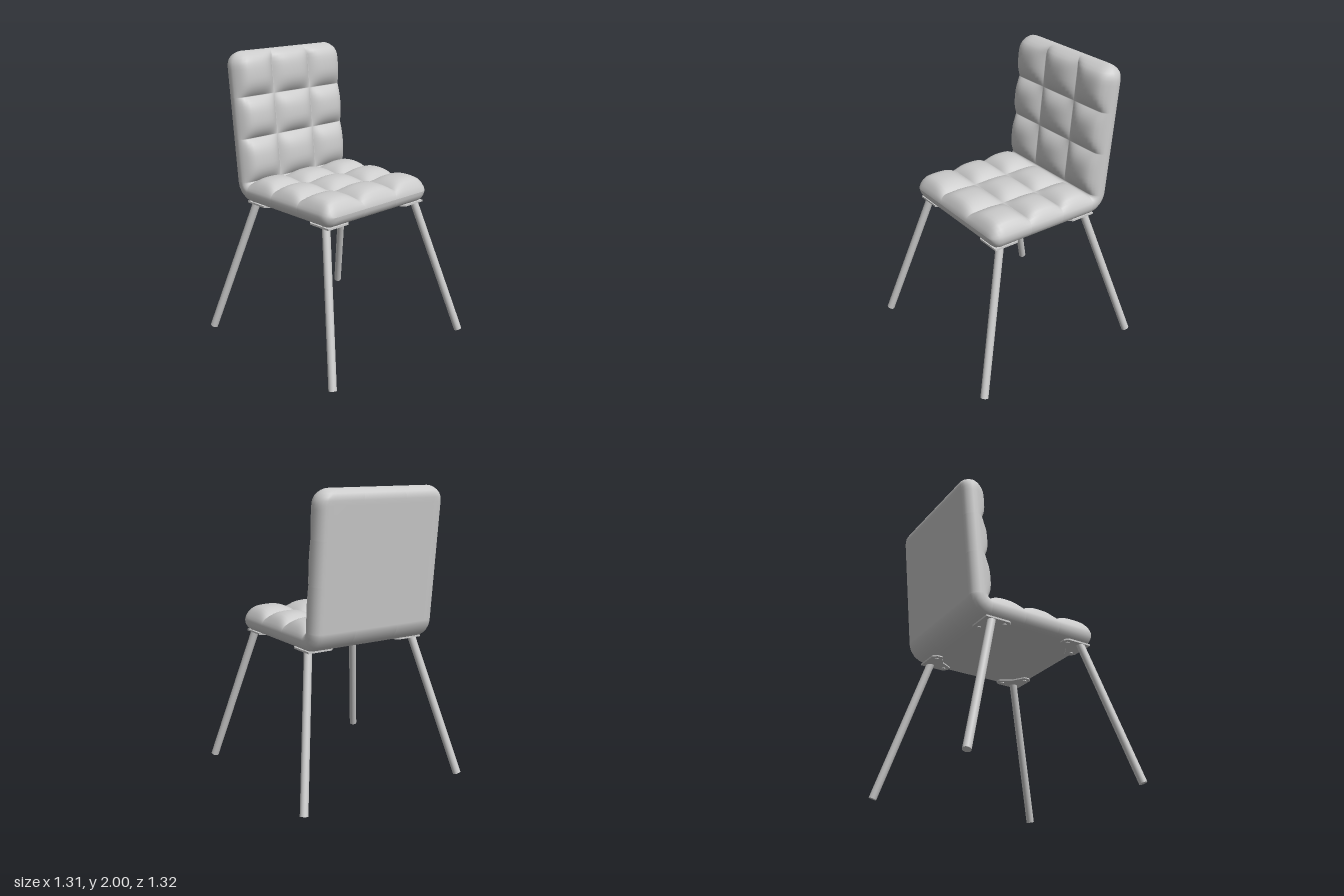
import * as THREE from 'three';

const material = new THREE.MeshStandardMaterial({ color: 0xcccccc, side: THREE.DoubleSide });

// Pad dimensions
const HALF_W = 0.478, FRONT = 0.437, BOTTOM = 0.98;
const BEND_Z = -0.38, BEND_R = 0.14, TILT = 0.096;
const BEND_ANGLE = Math.PI / 2 - TILT;
const SEAM = 0.13, PUFF = 0.055, MID = 0.075, EDGE = 0.06;

// Lengths along the outer line: seat, bend, back
const SEAT_L = FRONT - BEND_Z, BEND_L = BEND_R * BEND_ANGLE, BACK_L = 0.892;
const BACK_0 = SEAT_L + BEND_L, TOTAL = BACK_0 + BACK_L;

// Point on the underside / rear line and its normal towards the sitter, as [z, y, nz, ny]
function outerLine(s) {
  if (s <= SEAT_L) return [FRONT - s, BOTTOM, 0, 1];
  const a = Math.min((s - SEAT_L) / BEND_R, BEND_ANGLE);
  const nz = Math.sin(a), ny = Math.cos(a);
  const l = Math.max(0, s - BACK_0);
  return [BEND_Z - BEND_R * nz - l * ny, BOTTOM + BEND_R - BEND_R * ny + l * nz, nz, ny];
}

// Samples between seams, packed closer beside each seam, with the puff height of each
function cells(breaks, steps, flatCell = -1) {
  const out = [];
  for (let c = 0; c < breaks.length - 1; c++) {
    const n = c === flatCell ? 6 : steps;
    for (let i = c ? 1 : 0; i <= n; i++) {
      const t = -Math.cos((Math.PI * i) / n);
      const at = breaks[c] + (breaks[c + 1] - breaks[c]) * (t + 1) / 2;
      out.push({ at, puff: c === flatCell ? 0 : 1 - Math.abs(t) ** 2.8 });
    }
  }
  return out;
}

// Quarter-round falloff at distance d from an edge
const round = (d, r) => (d >= r ? 1 : Math.sqrt(Math.max(0, 1 - (1 - d / r) ** 2)));

// Tufted seat and back in one piece, lofted from closed cross-sections
function makePad() {
  const across = cells([-1, -0.345, 0.345, 1], 16);
  const along = cells([0, FRONT - 0.14, FRONT + 0.125, SEAT_L, BACK_0,
    BACK_0 + 0.30, BACK_0 + 0.585, TOTAL], 16, 3);
  const pos = [], index = [];
  const loop = [
    ...across.map((c) => ({ ...c, top: true })),
    ...across.slice(1, -1).reverse().map((c) => ({ ...c, top: false })),
  ];
  for (const { at: s, puff } of along) {
    const [z, y, nz, ny] = outerLine(s);
    const end = Math.min(s, TOTAL - s);
    const corner = s < TOTAL / 2 ? 0.065 : 0.1;
    const w = HALF_W - corner * (1 - round(end, corner));
    for (const c of loop) {
      const e = round((1 - Math.abs(c.at)) * w, EDGE) * round(end, EDGE);
      const n = c.top ? MID + (SEAM + PUFF * puff * c.puff - MID) * e : MID - MID * e;
      pos.push(c.at * w, y + ny * n, z + nz * n);
    }
  }
  const N = loop.length;
  for (let j = 0; j < along.length - 1; j++) {
    for (let i = 0; i < N; i++) {
      const k = (i + 1) % N;
      const a = j * N + i, b = j * N + k, c = b + N, d = a + N;
      index.push(a, b, c, a, c, d);
    }
  }
  const geo = new THREE.BufferGeometry();
  geo.setAttribute('position', new THREE.Float32BufferAttribute(pos, 3));
  geo.setIndex(index);
  geo.computeVertexNormals();
  const mesh = new THREE.Mesh(geo, material);
  mesh.name = 'tuftedSeatAndBack';
  return mesh;
}

function rod(name, from, to, radius, sides) {
  const dir = to.clone().sub(from);
  const mesh = new THREE.Mesh(new THREE.CylinderGeometry(radius, radius, dir.length(), sides), material);
  mesh.position.copy(from).addScaledVector(dir, 0.5);
  mesh.quaternion.setFromUnitVectors(new THREE.Vector3(0, 1, 0), dir.normalize());
  mesh.name = name;
  return mesh;
}

// Mounting plate with two bolts, symmetric about its outward diagonal
function makePlate() {
  const group = new THREE.Group();
  const shape = new THREE.Shape([
    [0.075, 0.075], [-0.10, 0.075], [-0.125, 0.05], [-0.125, 0.01], [-0.04, -0.04],
    [0.01, -0.125], [0.05, -0.125], [0.075, -0.10],
  ].map(([x, z]) => new THREE.Vector2(x, z)));
  const geo = new THREE.ExtrudeGeometry(shape, { depth: 0.012, bevelEnabled: false });
  geo.rotateX(Math.PI / 2);
  const plate = new THREE.Mesh(geo, material);
  plate.name = 'mountingPlate';
  group.add(plate);
  for (const [x, z] of [[-0.085, 0.035], [0.035, -0.085]]) {
    group.add(rod('bolt', new THREE.Vector3(x, -0.018, z), new THREE.Vector3(x, 0, z), 0.014, 12));
  }
  return group;
}

export function createModel() {
  const model = new THREE.Group();
  model.name = 'chair';
  model.add(makePad());

  // Four splayed legs, each under its own plate
  [[1, 1], [1, -1], [-1, -1], [-1, 1]].forEach(([sx, sz], i) => {
    const side = sx > 0 ? 'Left' : 'Right';
    const name = (sz > 0 ? 'front' : 'back') + side;
    const foot = new THREE.Vector3(0.628 * sx, 0.009, 0.635 * sz);
    const top = new THREE.Vector3(0.415 * sx, 0.985, 0.35 * sz);
    model.add(rod(name + 'Leg', foot, top, 0.027, 24));
    const plate = makePlate();
    plate.name = name + 'Plate';
    plate.position.set(0.375 * sx, 0.983, 0.335 * sz);
    plate.rotation.y = (i * Math.PI) / 2;
    model.add(plate);
  });
  return model;
}
